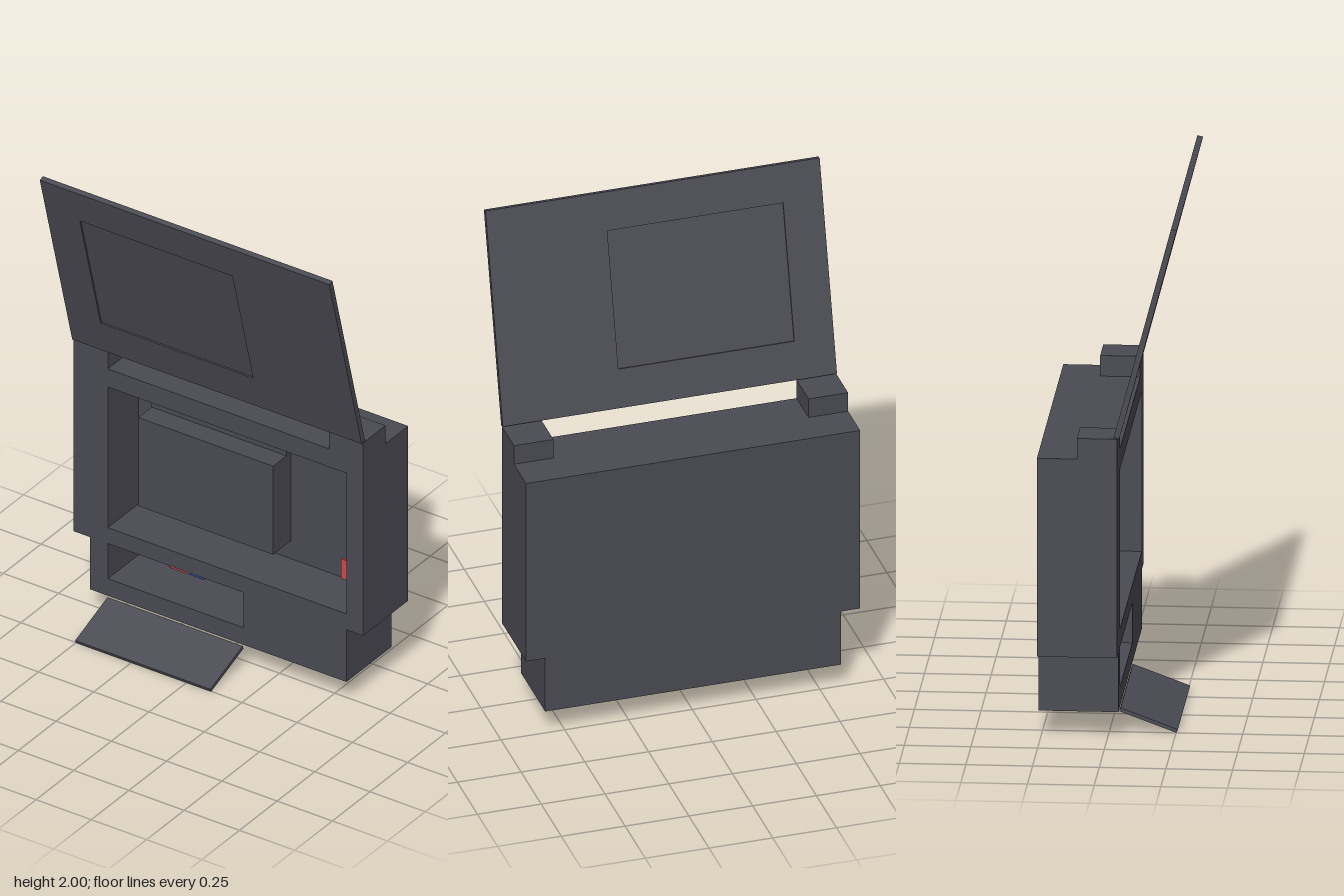
import * as THREE from 'three';

const casing = new THREE.MeshStandardMaterial({ color: 0x4a4a53 });
casing.name = 'charcoal casing';
const red = new THREE.MeshStandardMaterial({ color: 0xcb4c49 });
red.name = 'red';
const blue = new THREE.MeshStandardMaterial({ color: 0x2f539d });
blue.name = 'blue';

const FRONT = 0.04, RECESS = -0.165, BACK = -0.26;

function add(parent, name, geometry, material = casing) {
  const mesh = new THREE.Mesh(geometry, material);
  mesh.name = name;
  parent.add(mesh);
  return mesh;
}

// Box given by its limits on each axis
function box(parent, name, [x0, x1], [y0, y1], [z0, z1], material) {
  const mesh = add(parent, name, new THREE.BoxGeometry(x1 - x0, y1 - y0, z1 - z0), material);
  mesh.position.set((x0 + x1) / 2, (y0 + y1) / 2, (z0 + z1) / 2);
  return mesh;
}

function rectPath(x0, x1, y0, y1, PathType = THREE.Path) {
  return new PathType([[x0, y0], [x1, y0], [x1, y1], [x0, y1]].map(p => new THREE.Vector2(...p)));
}

function extrude(shape, z0, z1) {
  return new THREE.ExtrudeGeometry(shape, { depth: z1 - z0, bevelEnabled: false }).translate(0, 0, z0);
}

// Body silhouette with a narrower foot
function bodyShape() {
  return new THREE.Shape([
    [-0.58, 0.1], [0.58, 0.1], [0.58, 0.33], [0.655, 0.33],
    [0.655, 1.1], [-0.655, 1.1], [-0.655, 0.33], [-0.58, 0.33],
  ].map(p => new THREE.Vector2(...p)));
}

export function createModel() {
  const model = new THREE.Group();
  model.name = 'openCase';

  // Body: pierced front over a solid back
  const frontShape = bodyShape();
  frontShape.holes.push(rectPath(-0.5, 0.58, 0.4, 1.02), rectPath(-0.5, 0.115, 0.175, 0.33));
  add(model, 'bodyFront', extrude(frontShape, RECESS, FRONT));
  add(model, 'bodyBack', extrude(bodyShape(), BACK, RECESS));

  // Hinge blocks on the top corners
  for (const [name, x] of [['leftHinge', 0.5775], ['rightHinge', -0.5775]]) {
    box(model, name, [x - 0.0775, x + 0.0775], [1.1, 1.18], [-0.11, FRONT]);
  }

  // Block and its taller back plate inside the main recess
  box(model, 'innerBlock', [-0.42, 0.19], [0.48, 0.87], [-0.134, -0.045]);
  box(model, 'innerBackPlate', [-0.42, 0.19], [0.48, 0.94], [RECESS, -0.134]);

  // Coloured plates on the recess walls
  const plateZ = [RECESS, RECESS + 0.008];
  box(model, 'redPanel', [0.42, 0.58], [0.4, 0.485], plateZ, red);
  box(model, 'redTab', [-0.355, -0.27], [0.175, 0.33], plateZ, red);
  box(model, 'blueTab', [-0.27, -0.2], [0.175, 0.255], plateZ, blue);

  // Raised lid: frame with a slightly sunken pane
  const lid = new THREE.Group();
  lid.name = 'lid';
  const pane = [-0.5, 0.19, -0.27, 0.27];
  const frame = rectPath(-0.655, 0.655, -0.421, 0.421, THREE.Shape);
  frame.holes.push(rectPath(...pane));
  add(lid, 'lidFrame', extrude(frame, -0.011, 0.011));
  add(lid, 'lidPane', extrude(rectPath(...pane, THREE.Shape), -0.005, 0.005));
  lid.position.set(0, 1.59, 0.146);
  lid.rotation.x = 0.2587;
  model.add(lid);

  // Drop-down flap below the slot
  const flap = add(model, 'lowerFlap', new THREE.BoxGeometry(0.612, 0.014, 0.229));
  flap.position.set(-0.194, 0.048, 0.147);
  flap.rotation.x = 0.356;

  return model;
}
